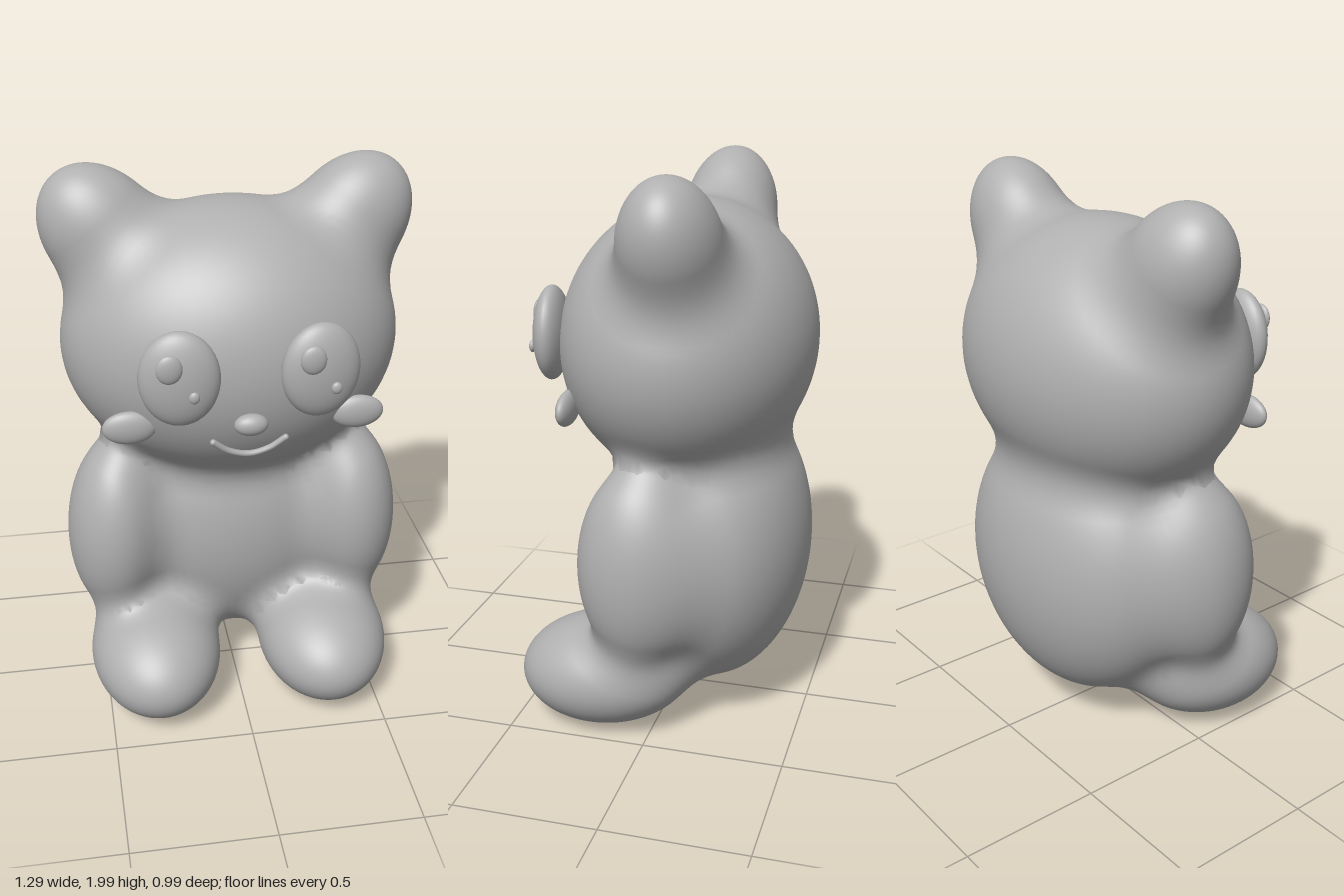
import * as THREE from 'three';

const plush = new THREE.MeshStandardMaterial({ color: 0xb0b0b0 });
plush.name = 'plainGrey';

// Soft body volumes: name, centre, radii, rotation; mirrored ones come in pairs
const volumes = [];
function volume(name, centre, radii, rot = [0, 0, 0]) {
  const matrix = new THREE.Matrix4().compose(
    new THREE.Vector3(...centre),
    new THREE.Quaternion().setFromEuler(new THREE.Euler(...rot)),
    new THREE.Vector3(1, 1, 1));
  volumes.push({ name, matrix, inverse: matrix.clone().invert(), r: new THREE.Vector3(...radii) });
}
function pair(name, [x, y, z], radii, [rx, ry, rz] = [0, 0, 0]) {
  volume('left' + name, [x, y, z], radii, [rx, ry, rz]);
  volume('right' + name, [-x, y, z], radii, [rx, -ry, -rz]);
}
volume('head', [0, 1.38, -0.045], [0.595, 0.488, 0.447]);
volume('body', [0, 0.64, -0.15], [0.5, 0.53, 0.34]);
pair('Ear', [0.42, 1.752, -0.085], [0.2, 0.265, 0.172], [0, 0, -0.64]);
pair('Arm', [0.437, 0.67, 0.03], [0.176, 0.35, 0.21], [0, 0, 0.04]);
pair('Leg', [0.318, 0.207, 0.185], [0.24, 0.198, 0.316], [0.1, 0, 0]);

// Distance to one ellipsoid, and to all of them melted together
const q = new THREE.Vector3(), a = new THREE.Vector3();
function distance(v, p) {
  q.copy(p).applyMatrix4(v.inverse).divide(v.r);
  const k0 = q.length();
  const k1 = a.copy(q).divide(v.r).length();
  return k1 < 1e-6 ? -0.2 : k0 * (k0 - 1) / k1;
}
const BLEND = 0.12;
function field(p) {
  let d = distance(volumes[0], p);
  for (let i = 1; i < volumes.length; i++) {
    const e = distance(volumes[i], p);
    const h = Math.max(BLEND - Math.abs(d - e), 0) / BLEND;
    d = Math.min(d, e) - h * h * BLEND / 4;
  }
  return d;
}

// Ellipsoid whose skin is pushed out to the melted surface, so the joins are filleted
function softPart(v) {
  const geo = new THREE.SphereGeometry(1, 80, 60);
  const pos = geo.attributes.position, nor = geo.attributes.normal;
  const p = new THREE.Vector3(), n = new THREE.Vector3(), s = new THREE.Vector3();
  const E = 0.002;
  for (let i = 0; i < pos.count; i++) {
    p.fromBufferAttribute(pos, i);
    n.copy(p).divide(v.r).transformDirection(v.matrix);
    p.multiply(v.r).applyMatrix4(v.matrix);
    let t = 0;
    for (let k = 0; k < 10; k++) {
      s.copy(p).addScaledVector(n, t);
      t = THREE.MathUtils.clamp(t - field(s), 0, 0.08);
    }
    p.addScaledVector(n, t);
    pos.setXYZ(i, p.x, p.y, p.z);
    const g = ['x', 'y', 'z'].map((axis) => {
      s.copy(p); s[axis] += E;
      const hi = field(s);
      s[axis] -= 2 * E;
      return hi - field(s);
    });
    n.set(...g).normalize();
    nor.setXYZ(i, n.x, n.y, n.z);
  }
  const mesh = new THREE.Mesh(geo, plush);
  mesh.name = v.name;
  return mesh;
}

// Small separate bead for the face
function bead(name, centre, radii, yaw = 0) {
  const mesh = new THREE.Mesh(new THREE.SphereGeometry(1, 32, 24), plush);
  mesh.name = name;
  mesh.position.set(...centre);
  mesh.scale.set(...radii);
  mesh.rotation.y = yaw;
  return mesh;
}

export function createModel() {
  const model = new THREE.Group();
  model.name = 'sittingBear';
  for (const v of volumes) model.add(softPart(v));

  // Eyes, with highlights offset the same way on both sides, and cheeks
  for (const [side, sx] of [['left', 1], ['right', -1]]) {
    const x = sx * 0.232;
    model.add(
      bead(side + 'Eye', [x, 1.418, 0.392], [0.134, 0.165, 0.06], sx * 0.1),
      bead(side + 'EyeHighlight', [x - 0.038, 1.478, 0.45], [0.043, 0.049, 0.018]),
      bead(side + 'EyeGlint', [x + 0.041, 1.375, 0.45], [0.018, 0.021, 0.012]),
      bead(side + 'Cheek', [sx * 0.39, 1.2, 0.285], [0.092, 0.06, 0.031]));
  }

  // Nose and smile
  model.add(bead('nose', [0, 1.245, 0.412], [0.057, 0.038, 0.034]));
  const smile = new THREE.CatmullRomCurve3([-0.122, -0.068, 0, 0.068, 0.122].map((x) => {
    const rise = (x / 0.122) ** 2;
    return new THREE.Vector3(x, 1.113 + 0.06 * rise, 0.366 + 0.016 * rise);
  }));
  const mouth = new THREE.Mesh(new THREE.TubeGeometry(smile, 32, 0.011, 10), plush);
  mouth.name = 'mouth';
  model.add(mouth);
  for (const end of [0, 1]) {
    model.add(bead('mouthEnd', smile.getPoint(end).toArray(), [0.011, 0.011, 0.011]));
  }
  return model;
}
